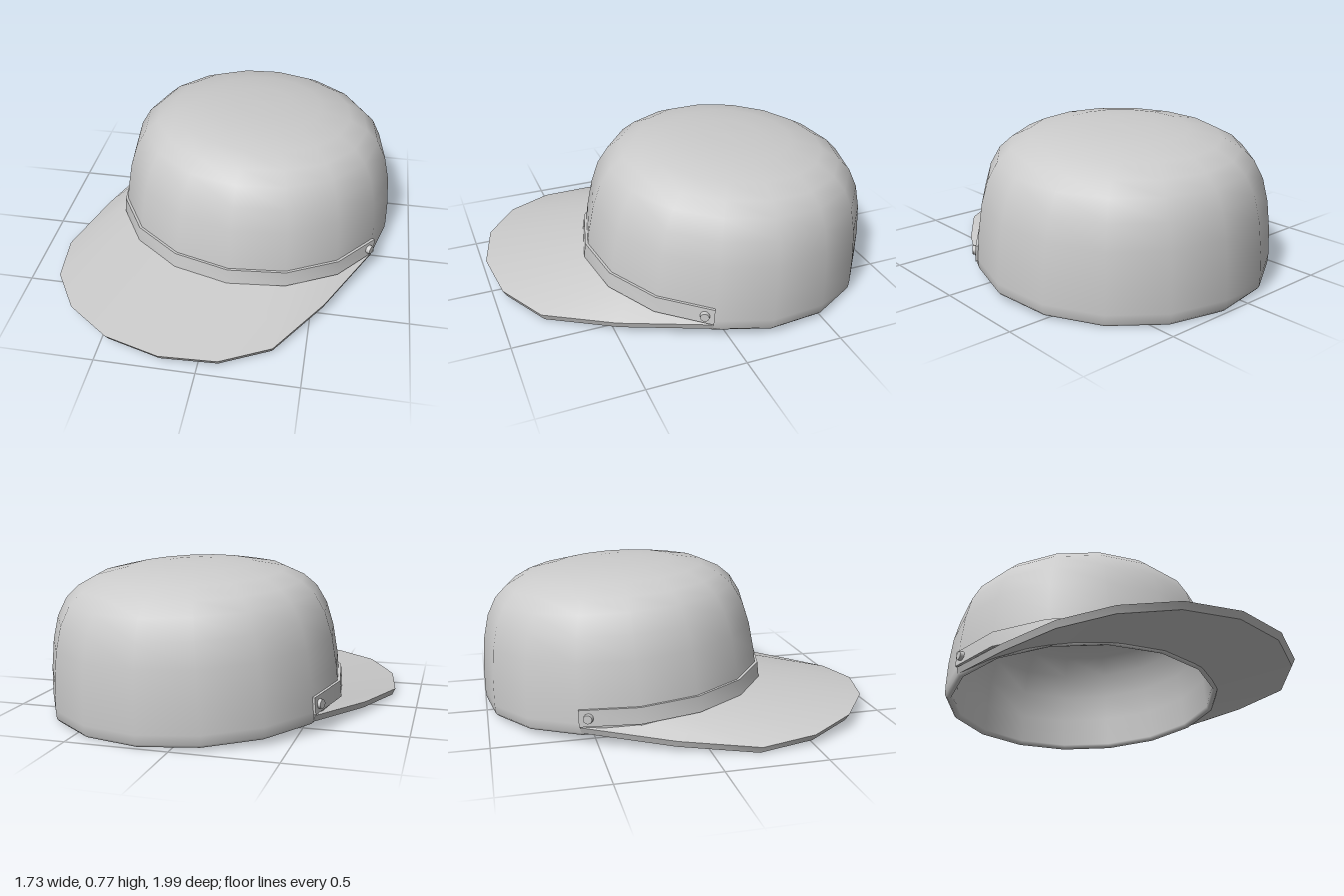
import * as THREE from 'three';
import { toCreasedNormals } from 'three/addons/utils/BufferGeometryUtils.js';

const material = new THREE.MeshStandardMaterial({ color: 0xcccccc });

function addMesh(parent, geometry, name) {
  const mesh = new THREE.Mesh(geometry, material);
  mesh.name = name;
  parent.add(mesh);
  return mesh;
}

// Skin a row of closed four-sided cross-sections and cap both ends
function loft(sections, crease) {
  const n = sections[0].length;
  const index = [];
  for (let i = 0; i < sections.length - 1; i++) {
    for (let j = 0; j < n; j++) {
      const a = i * n + j, d = i * n + (j + 1) % n;
      index.push(a, a + n, d, d + n, d, a + n);
    }
  }
  const e = (sections.length - 1) * n;
  index.push(0, 1, 2, 0, 2, 3, e, e + 2, e + 1, e, e + 3, e + 2);
  const geometry = new THREE.BufferGeometry();
  geometry.setAttribute('position', new THREE.Float32BufferAttribute(sections.flat(2), 3));
  geometry.setIndex(index);
  return toCreasedNormals(geometry, crease);
}

export function createModel() {
  const model = new THREE.Group();
  model.name = 'cap';

  // The cap is turned to its right; crown and band also lean back
  const cap = new THREE.Group();
  cap.name = 'turnedCap';
  cap.position.set(0.11, 0, -0.25);
  cap.rotation.y = -0.453;
  model.add(cap);

  const leaning = new THREE.Group();
  leaning.name = 'leaningCrown';
  leaning.position.y = 0.05;
  leaning.rotation.x = -0.062;
  cap.add(leaning);

  // Crown: hollow shell, from inner top down to the rim and up the outside
  const profile = [
    [0, 0.685], [0.28, 0.67], [0.46, 0.625], [0.57, 0.555], [0.64, 0.46], [0.685, 0.33],
    [0.705, 0.18], [0.71, 0.02], [0.718, 0.003], [0.735, 0], [0.748, 0.015], [0.75, 0.06],
    [0.742, 0.2], [0.722, 0.35], [0.69, 0.47], [0.64, 0.562], [0.575, 0.622], [0.48, 0.67],
    [0.32, 0.703], [0.15, 0.715], [0, 0.717],
  ].map(([r, y]) => new THREE.Vector2(r, y));
  addMesh(leaning, new THREE.LatheGeometry(profile, 16), 'crown');

  // Strap across the front half of the crown
  const strap = [];
  for (let i = 0; i <= 8; i++) {
    const a = -Math.PI / 2 + (i * Math.PI) / 8;
    strap.push([[0.735, 0.05], [0.764, 0.05], [0.76, 0.132], [0.73, 0.132]]
      .map(([r, y]) => [r * Math.sin(a), y, r * Math.cos(a)]));
  }
  addMesh(leaning, loft(strap, 0.6), 'strap');

  // A button at each end of the strap
  for (const side of [-1, 1]) {
    const pivot = new THREE.Group();
    pivot.name = side > 0 ? 'leftButton' : 'rightButton';
    pivot.rotation.y = side * THREE.MathUtils.degToRad(86.5);
    leaning.add(pivot);
    const geometry = toCreasedNormals(new THREE.CylinderGeometry(0.022, 0.026, 0.03, 12), 0.7);
    const button = addMesh(pivot, geometry, 'button');
    button.rotation.x = Math.PI / 2;
    button.position.set(0, 0.091, 0.757);
  }

  // Brim: half outline from the side to the tip as [x, z, top height], mirrored
  const half = [
    [0.757, 0, 0.095], [0.736, 0.466, 0.06], [0.677, 0.855, 0.04],
    [0.519, 1.09, 0.058], [0.282, 1.243, 0.08],
  ];
  const outline = [
    ...half.map(([x, z, y]) => [-x, z, y]),
    [0, 1.298, 0.088],
    ...half.slice().reverse(),
  ];
  const brim = outline.map(([x, z, y], i) => {
    const a = -Math.PI / 2 + (i * Math.PI) / 10;
    const ix = 0.725 * Math.sin(a), iz = 0.725 * Math.cos(a);
    const inner = 0.1 + 0.07 * iz;
    return [
      [ix, inner - 0.045, iz],
      [x * 0.985, y - 0.032, z * 0.985],
      [x, y, z],
      [ix, inner, iz],
    ];
  });
  addMesh(cap, loft(brim, 0.6), 'brim');

  return model;
}
